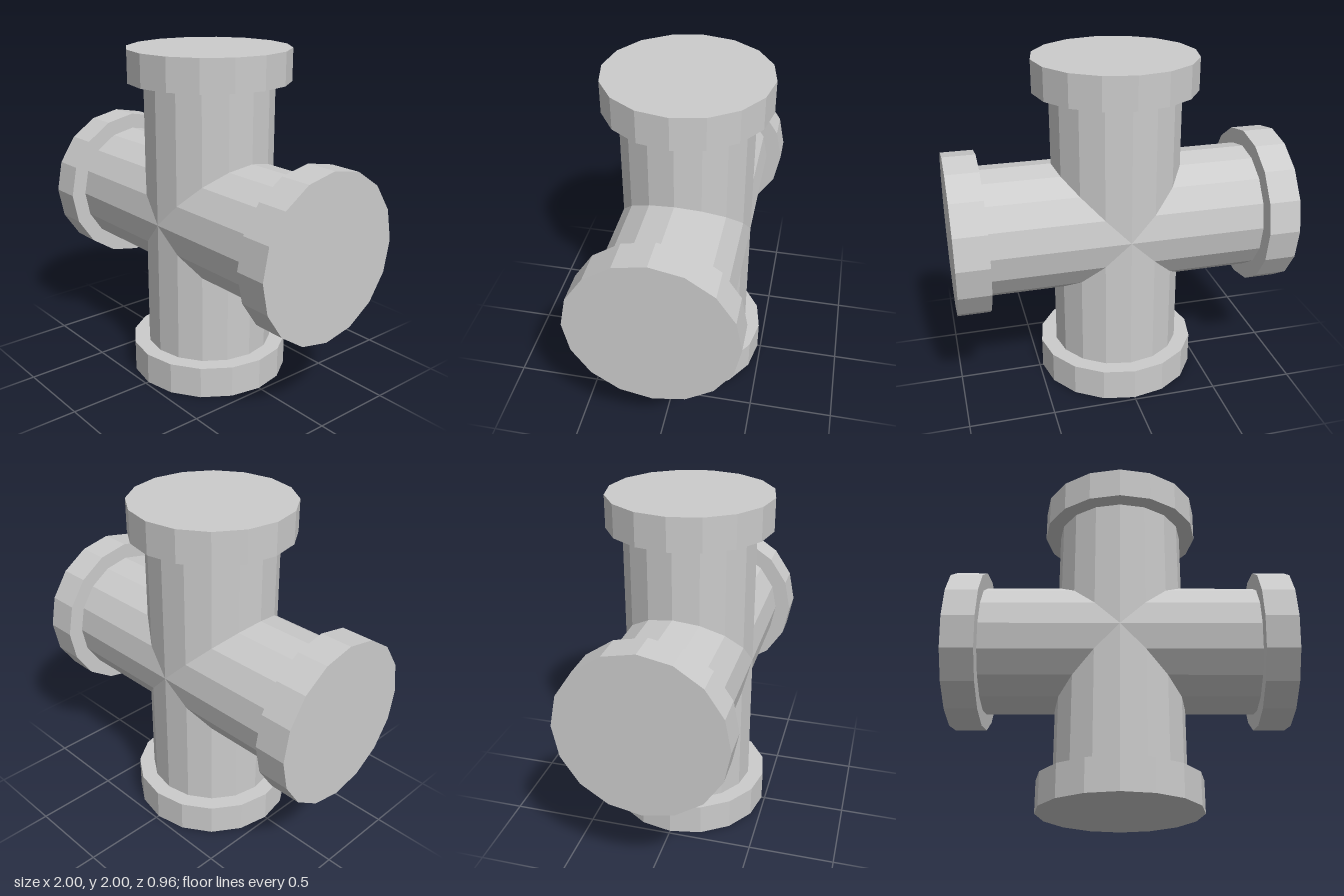
import * as THREE from 'three';

const SIDES = 16;
const PIPE_R = 0.385;
const FLANGE_R = 0.48;
const FLANGE_START = 0.81; // distance from the centre of the cross
const END = 1;

const material = new THREE.MeshStandardMaterial({ color: 0xcccccc, flatShading: true });

function lathe(points) {
  return new THREE.LatheGeometry(points.map(([r, y]) => new THREE.Vector2(r, y)), SIDES);
}

// Pipe whose inner end is mitred at 45 degrees on both sides
function pipeGeometry() {
  const geometry = lathe([[PIPE_R, 0], [PIPE_R, FLANGE_START]]);
  const pos = geometry.attributes.position;
  for (let i = 0; i < pos.count; i++) {
    if (pos.getY(i) < 0.01) pos.setY(i, Math.abs(pos.getX(i)));
  }
  geometry.computeVertexNormals();
  return geometry;
}

// Closed end flange with a step around the pipe
function flangeGeometry() {
  return lathe([[PIPE_R, FLANGE_START], [FLANGE_R, FLANGE_START], [FLANGE_R, END], [0, END]]);
}

export function createModel() {
  const model = new THREE.Group();
  model.name = 'pipeCross';
  const pipe = pipeGeometry();
  const flange = flangeGeometry();

  // Four equal arms turned about the centre
  ['topArm', 'leftArm', 'bottomArm', 'rightArm'].forEach((name, i) => {
    const arm = new THREE.Group();
    arm.name = name;
    const pipeMesh = new THREE.Mesh(pipe, material);
    pipeMesh.name = 'pipe';
    const flangeMesh = new THREE.Mesh(flange, material);
    flangeMesh.name = 'endFlange';
    arm.add(pipeMesh, flangeMesh);
    arm.position.y = 1;
    arm.rotation.z = -i * Math.PI / 2;
    model.add(arm);
  });
  return model;
}
